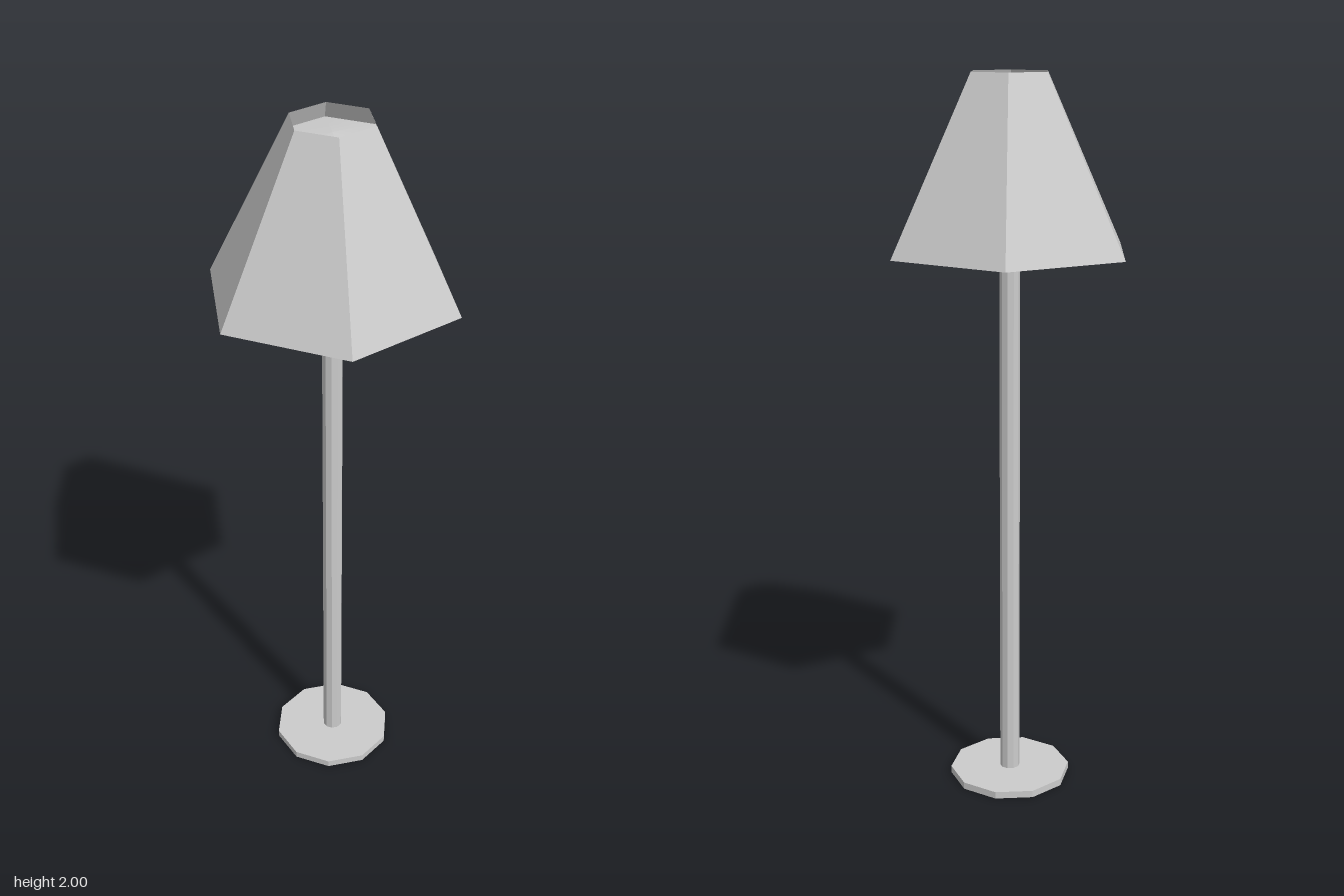
import * as THREE from 'three';

const flat = new THREE.MeshStandardMaterial({ color: 0xcccccc, flatShading: true, side: THREE.DoubleSide });
const smooth = new THREE.MeshStandardMaterial({ color: 0xcccccc, side: THREE.DoubleSide });

// Revolve a [radius, height] profile with a corner on the x axis
function turned(name, profile, sides, material) {
  const points = profile.map(([r, y]) => new THREE.Vector2(r, y));
  const mesh = new THREE.Mesh(new THREE.LatheGeometry(points, sides, Math.PI / 2), material);
  mesh.name = name;
  return mesh;
}

export function createModel() {
  const lamp = new THREE.Group();
  lamp.name = 'floorLamp';

  // Thin ten-sided foot with a small hole underneath
  lamp.add(turned('base', [[0.021, 0], [0.172, 0], [0.172, 0.02], [0.021, 0.02]], 10, flat));

  // Hollow pole running up into the shade
  lamp.add(turned('pole', [[0.028, 0], [0.028, 1.71]], 10, flat));

  // Six-sided shade wall
  lamp.add(turned('shade', [[0.347, 1.535], [0.113, 2]], 6, flat));

  // Softly peaked panel just below the top opening
  lamp.add(turned('shadeTop', [[0.134, 1.955], [0.076, 1.962], [0, 1.968]], 6, smooth));

  // Shallow hollow underside rising from the lower rim to the pole
  lamp.add(turned('shadeUnderside', [[0.347, 1.535], [0, 1.71]], 6, smooth));

  return lamp;
}
